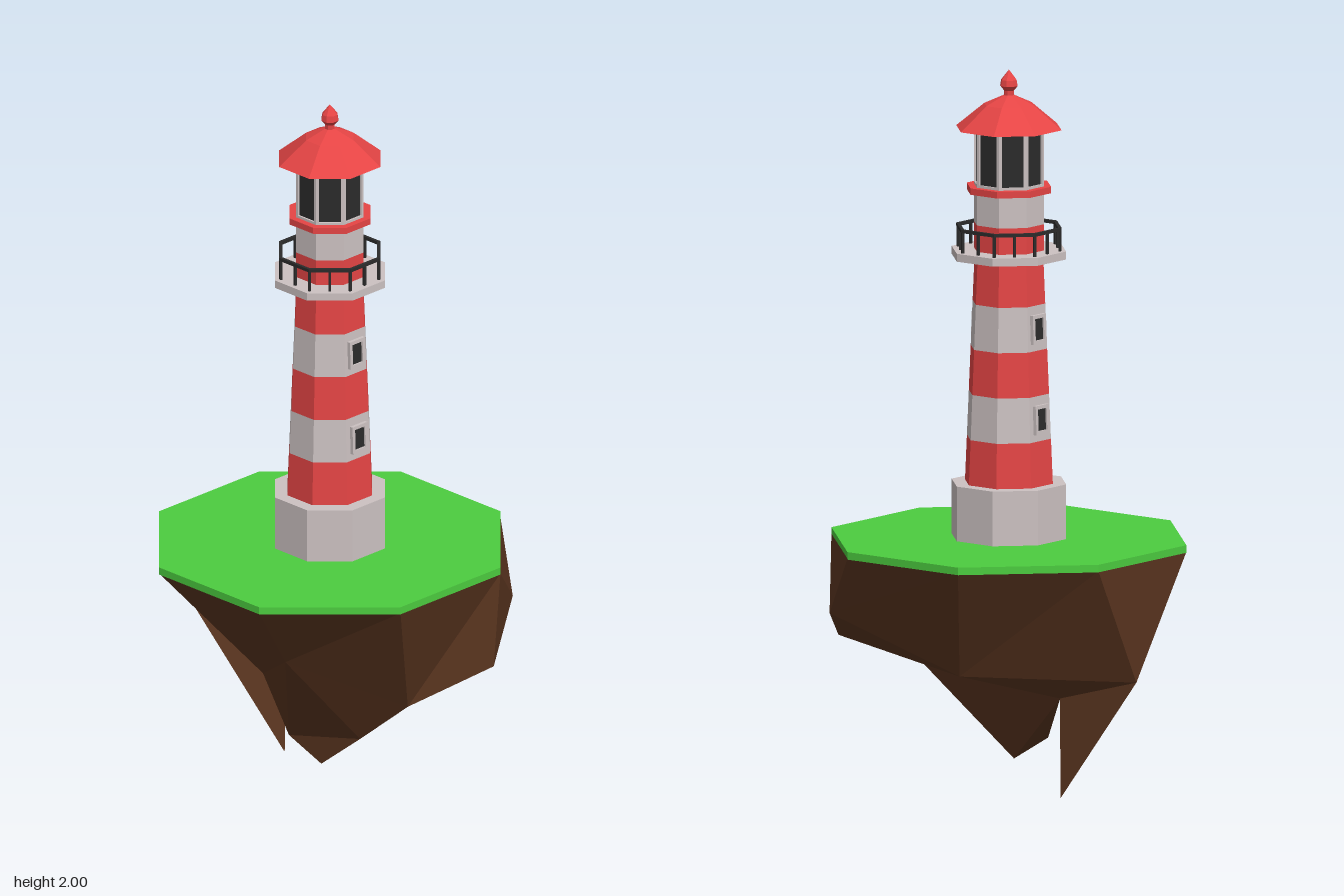
import * as THREE from 'three';

const mat = (color, extra = {}) => new THREE.MeshStandardMaterial({ color, flatShading: true, ...extra });
const RED = mat(0xe64545), WHITE = mat(0xccc2c2), DARK = mat(0x2b2b2b), GREEN = mat(0x4ccc3f), BROWN = mat(0x5c3620);
const STEP = Math.PI / 4, APOTHEM = Math.cos(STEP / 2);

function add(parent, name, geometry, material) {
  const mesh = new THREE.Mesh(geometry, material);
  mesh.name = name;
  parent.add(mesh);
  return mesh;
}

// Eight-sided ring section between two heights, corners on the axes
function octagon(parent, name, y0, y1, r0, r1, material) {
  const mesh = add(parent, name, new THREE.CylinderGeometry(r1, r0, y1 - y0, 8), material);
  mesh.position.y = (y0 + y1) / 2;
  return mesh;
}

// Flat rectangular frame with an opening, facing +z
function frameGeometry(w, h, border, depth) {
  const rect = (T, a, b) => new T([[-a, -b], [a, -b], [a, b], [-a, b]].map(p => new THREE.Vector2(...p)));
  const shape = rect(THREE.Shape, w / 2, h / 2);
  shape.holes.push(rect(THREE.Path, w / 2 - border, h / 2 - border));
  return new THREE.ExtrudeGeometry(shape, { depth, bevelEnabled: false });
}

// Faceted rock: top ring, a jagged middle ring and a few low points
function rockGeometry() {
  const top = Array.from({ length: 8 }, (_, i) =>
    [0.505 * Math.sin(i * STEP), 0.685, 0.505 * Math.cos(i * STEP)]);
  const mid = [
    [0.005, 0.47, 0.33], [0.295, 0.315, 0.155], [0.485, 0.405, 0], [0.44, 0.51, -0.245],
    [0.05, 0.365, -0.315], [-0.41, 0.345, -0.165], [-0.44, 0.585, 0.085], [-0.115, 0.365, 0.2],
  ];
  const [M, G, H, I, K, B, A, N] = mid;
  const D = [-0.09, 0.135, 0.075], E = [0.01, 0.07, 0.085], F = [0.14, 0.18, 0.122];
  const L = [-0.185, 0.285, -0.137], C = [-0.175, 0, -0.1], O = [-0.11, 0.275, 0.1];
  const tris = [];
  for (let i = 0; i < 8; i++) {
    const j = (i + 1) % 8;
    if (i === 2) tris.push([top[i], mid[i], mid[j]], [top[i], mid[j], top[j]]);
    else tris.push([top[i], mid[i], top[j]], [mid[i], mid[j], top[j]]);
  }
  tris.push(
    [G, M, F], [F, M, D], [M, N, D], [N, O, D], [N, A, O], [A, L, O],   // front
    [A, B, C], [A, C, L], [B, L, C], [B, K, L],                         // hanging spike
    [K, I, H], [K, H, L], [H, G, L], [L, G, E], [G, F, E], [F, D, E], [L, E, D], [L, D, O], // underside
  );
  const geometry = new THREE.BufferGeometry();
  geometry.setAttribute('position', new THREE.Float32BufferAttribute(tris.flat(2), 3));
  geometry.computeVertexNormals();
  return geometry;
}

function addWindow(parent, y, azimuth) {
  const win = new THREE.Group();
  win.name = 'towerWindow';
  const r = (0.125 - (y - 0.855) * 0.0432) * APOTHEM;
  win.rotation.order = 'YXZ';
  win.rotation.set(-0.04, azimuth, 0);
  win.position.set(r * Math.sin(azimuth), y, r * Math.cos(azimuth));
  add(win, 'windowFrame', frameGeometry(0.058, 0.08, 0.01, 0.014), WHITE).position.z = -0.004;
  add(win, 'windowPane', new THREE.BoxGeometry(0.044, 0.066, 0.01), DARK);
  parent.add(win);
}

function addRailing(parent) {
  const railing = new THREE.Group();
  railing.name = 'balconyRailing';
  const r = 0.145, side = 2 * r * Math.sin(STEP / 2);
  for (let i = 0; i < 16; i++) {
    const a = i * STEP / 2, d = i % 2 ? r * APOTHEM : r;
    const post = add(railing, 'railingPost', new THREE.BoxGeometry(0.007, 0.065, 0.007), DARK);
    post.position.set(d * Math.sin(a), 1.53, d * Math.cos(a));
    post.rotation.y = a;
    if (i % 2) {
      const rail = add(railing, 'handRail', new THREE.BoxGeometry(side + 0.004, 0.009, 0.009), DARK);
      rail.position.set(d * Math.sin(a), 1.563, d * Math.cos(a));
      rail.rotation.y = a;
    }
  }
  parent.add(railing);
}

export function createModel() {
  const model = new THREE.Group();
  model.name = 'lighthouseIsland';

  // Floating island
  add(model, 'rock', rockGeometry(), BROWN);
  octagon(model, 'grass', 0.682, 0.703, 0.505, 0.505, GREEN);

  // Plinth and striped tapering tower
  octagon(model, 'plinth', 0.7, 0.855, 0.163, 0.163, WHITE);
  for (let i = 0; i < 5; i++) {
    const y = 0.855 + i * 0.125, r = 0.125 - i * 0.0054;
    octagon(model, 'towerStripe', y, y + 0.125, r, r - 0.0054, i % 2 ? WHITE : RED);
  }
  for (const azimuth of [1.5 * STEP, 5.5 * STEP])
    for (const y of [1.04, 1.29]) addWindow(model, y, azimuth);

  // Balcony and the drum above it
  octagon(model, 'balcony', 1.48, 1.502, 0.163, 0.163, WHITE);
  addRailing(model);
  octagon(model, 'lowerDrum', 1.5, 1.575, 0.1, 0.1, RED);
  octagon(model, 'upperDrum', 1.575, 1.665, 0.1, 0.1, WHITE);
  octagon(model, 'drumRim', 1.662, 1.68, 0.12, 0.12, RED);

  // Lantern room: dark glass behind eight framed panels
  octagon(model, 'lanternGlass', 1.68, 1.84, 0.094, 0.094, DARK);
  for (let i = 0; i < 8; i++) {
    const a = (i + 0.5) * STEP, d = 0.1 * APOTHEM - 0.008;
    const panel = add(model, 'lanternFrame', frameGeometry(0.0765, 0.162, 0.008, 0.008), WHITE);
    panel.position.set(d * Math.sin(a), 1.76, d * Math.cos(a));
    panel.rotation.y = a;
  }

  // Roof and finial
  const lathe = pts => new THREE.LatheGeometry(pts.map(p => new THREE.Vector2(...p)), 8);
  add(model, 'roof', lathe([[0, 1.838], [0.15, 1.838], [0.07, 1.904], [0, 1.936]]), RED);
  add(model, 'finial', lathe([[0.014, 1.925], [0.014, 1.942], [0.025, 1.955], [0.022, 1.972], [0, 2]]), RED);
  return model;
}
